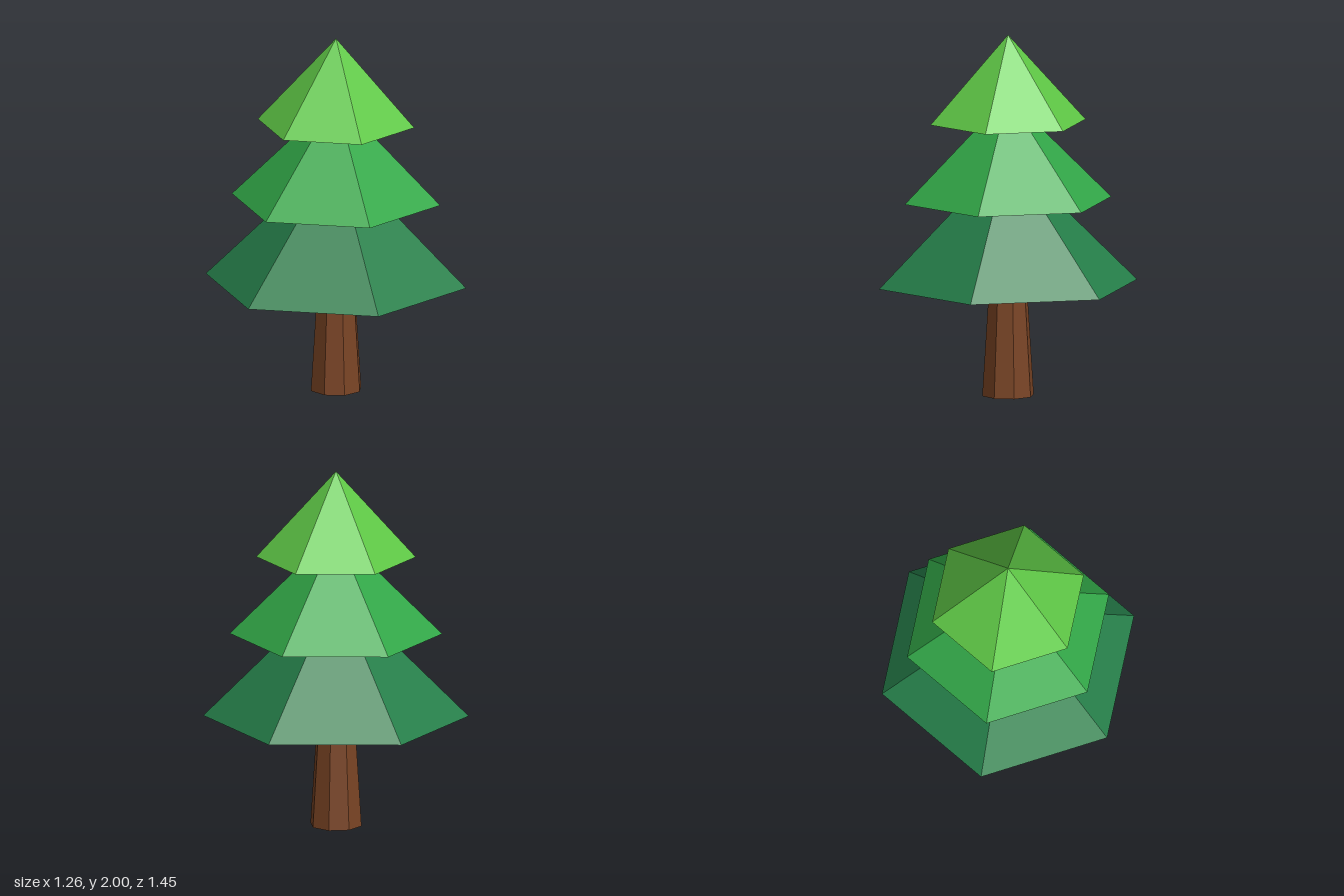
import * as THREE from 'three';

const material = (color) => new THREE.MeshStandardMaterial({ color, flatShading: true });

export function createModel() {
  const tree = new THREE.Group();
  tree.name = 'pineTree';

  // tapered eight-sided trunk
  const trunkHeight = 0.615;
  const trunk = new THREE.Mesh(
    new THREE.CylinderGeometry(0.106, 0.145, trunkHeight, 8),
    material(0x7a4424)
  );
  trunk.name = 'trunk';
  trunk.position.y = trunkHeight / 2;
  tree.add(trunk);

  // three overlapping six-sided foliage tiers
  const tiers = [
    { name: 'lowerFoliage', radius: 0.727, base: 0.615, height: 0.727, color: 0x267f4a },
    { name: 'middleFoliage', radius: 0.582, base: 1.08, height: 0.582, color: 0x32a848 },
    { name: 'upperFoliage', radius: 0.437, base: 1.515, height: 0.485, color: 0x5fc846 },
  ];
  for (const { name, radius, base, height, color } of tiers) {
    const tier = new THREE.Mesh(new THREE.ConeGeometry(radius, height, 6), material(color));
    tier.name = name;
    tier.position.y = base + height / 2;
    tree.add(tier);
  }

  return tree;
}
